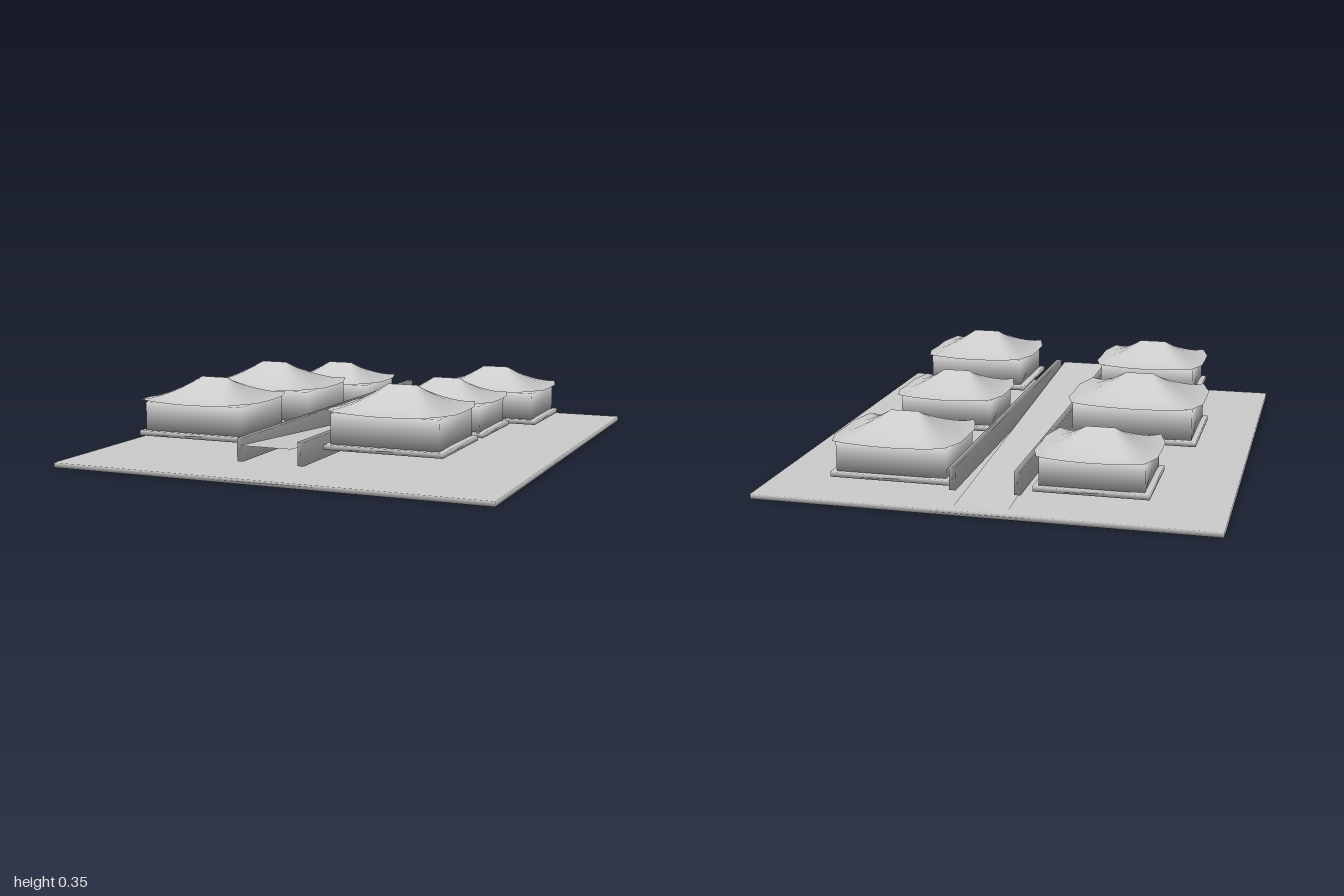
import * as THREE from 'three';
import { mergeVertices } from 'three/addons/utils/BufferGeometryUtils.js';

const grey = new THREE.MeshStandardMaterial({ color: 0xcccccc, side: THREE.DoubleSide });
grey.name = 'plain grey';

function addMesh(parent, name, geometry) {
  const mesh = new THREE.Mesh(geometry, grey);
  mesh.name = name;
  parent.add(mesh);
  return mesh;
}

// Box given by its extents, with normals shared around the corners
function softBox(x0, x1, y0, y1, z0, z1) {
  const box = new THREE.BoxGeometry(x1 - x0, y1 - y0, z1 - z0);
  box.translate((x0 + x1) / 2, (y0 + y1) / 2, (z0 + z1) / 2);
  box.deleteAttribute('normal');
  box.deleteAttribute('uv');
  const soft = mergeVertices(box);
  soft.computeVertexNormals();
  return soft;
}

// Eave outline on a unit plan, counter-clockwise from above: [x, z, lift]
const quarter = [[1, 0, 0.4], [1, -0.5, 0.6], [0.87, -1, 1], [0.65, -1, 0.5], [0.35, -1, 0.15]];
const half = [...quarter, [0, -1, 0], ...quarter.slice(1).reverse().map(([x, z, l]) => [-x, z, l])];
const outline = [...half, ...half.map(([x, z, l]) => [-x, -z, l])];

// Concave hipped roof running from the upturned eave to a short ridge
function roofGeometry(hw, hd, eave, apex) {
  const rings = 8, n = outline.length, ridge = 0.057;
  const positions = [], index = [];
  for (let r = 0; r <= rings; r++) {
    const t = r / rings;
    for (const [x, z, lift] of outline) {
      positions.push(
        x * THREE.MathUtils.lerp(hw, ridge, t),
        eave + (apex - eave) * Math.pow(t, 1.4) + 0.013 * lift * (1 - t) ** 2,
        z * hd * (1 - t));
    }
  }
  for (let r = 0; r < rings; r++) {
    for (let i = 0; i < n; i++) {
      const a = r * n + i, b = r * n + (i + 1) % n;
      index.push(a, b, b + n, a, b + n, a + n);
    }
  }
  const g = new THREE.BufferGeometry();
  g.setAttribute('position', new THREE.Float32BufferAttribute(positions, 3));
  g.setIndex(index);
  g.computeVertexNormals();
  return g;
}

// Pavilion: platform, inset body and overhanging roof
function pavilion({ name, x, z, hw, hd, base, eave, apex }) {
  const house = new THREE.Group();
  house.name = name;
  house.position.set(x, 0, z);
  const w = hw - 0.02, d = hd - 0.018;
  addMesh(house, 'platform', softBox(-hw, hw, base, base + 0.02, -hd, hd));
  addMesh(house, 'body', softBox(-w, w, base + 0.02, eave, -d, d));
  addMesh(house, 'roof', roofGeometry(hw + 0.014, hd + 0.014, eave, apex));
  return house;
}

export function createModel() {
  const model = new THREE.Group();
  model.name = 'pavilionCourt';

  addMesh(model, 'ground', softBox(-0.9, 0.9, 0, 0.02, -1, 1));

  // Walkway falling from the front to the back
  const path = new THREE.PlaneGeometry(0.21, Math.hypot(1.9, 0.113));
  path.rotateX(-Math.PI / 2 + Math.atan2(-0.113, 1.9));
  path.translate(0, 0.078, 0);
  addMesh(model, 'walkway', path);

  // Side walls along the walkway
  addMesh(model, 'leftWall', softBox(0.111, 0.136, 0.065, 0.155, -0.905, 0.905));
  addMesh(model, 'rightWall', softBox(-0.139, -0.114, 0.065, 0.155, -0.905, 0.905));

  // Pavilions step down towards the back
  const houses = [
    { name: 'frontLeftPavilion', x: 0.414, z: 0.615, hw: 0.234, hd: 0.208, base: 0.117, eave: 0.254, apex: 0.349 },
    { name: 'middleLeftPavilion', x: 0.378, z: 0, hw: 0.218, hd: 0.185, base: 0.085, eave: 0.213, apex: 0.3 },
    { name: 'backLeftPavilion', x: 0.403, z: -0.62, hw: 0.243, hd: 0.196, base: 0.05, eave: 0.187, apex: 0.28 },
    { name: 'frontRightPavilion', x: -0.391, z: 0.615, hw: 0.23, hd: 0.198, base: 0.117, eave: 0.25, apex: 0.338 },
    { name: 'middleRightPavilion', x: -0.43, z: 0, hw: 0.269, hd: 0.21, base: 0.085, eave: 0.232, apex: 0.332 },
    { name: 'backRightPavilion', x: -0.382, z: -0.62, hw: 0.222, hd: 0.187, base: 0.05, eave: 0.18, apex: 0.265 },
  ];
  for (const h of houses) model.add(pavilion(h));

  return model;
}
